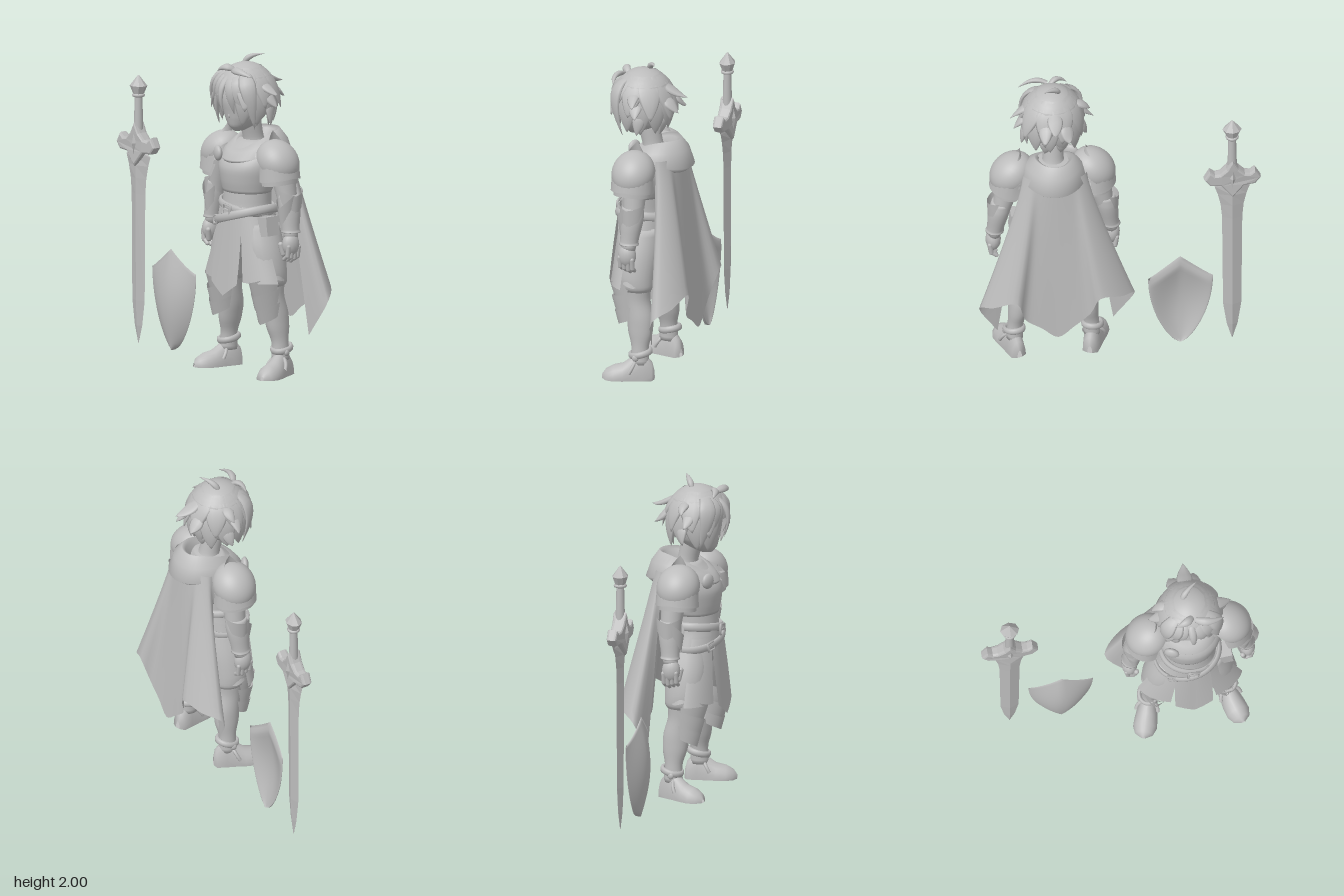
import * as THREE from 'three';
import { mergeVertices } from 'three/addons/utils/BufferGeometryUtils.js';

const grey = new THREE.MeshStandardMaterial({ color: 0xbcbcbc, side: THREE.DoubleSide });
grey.name = 'plain grey';
const V = (x, y, z) => new THREE.Vector3(x, y, z);
const lerp = THREE.MathUtils.lerp;

function add(parent, name, geo, pos = [0, 0, 0], rot = [0, 0, 0], scale = [1, 1, 1]) {
  const m = new THREE.Mesh(geo, grey);
  m.name = name;
  m.position.set(...pos); m.rotation.set(...rot); m.scale.set(...scale);
  parent.add(m);
  return m;
}

// Surface from fn(u, v) -> [x, y, z], with u and v in 0..1
function grid(fn, nu, nv, flat = false) {
  const pos = [], idx = [];
  for (let j = 0; j <= nv; j++) for (let i = 0; i <= nu; i++) pos.push(...fn(i / nu, j / nv));
  for (let j = 0; j < nv; j++) for (let i = 0; i < nu; i++) {
    const a = j * (nu + 1) + i, b = a + nu + 1;
    idx.push(a, b, a + 1, b, b + 1, a + 1);
  }
  let g = new THREE.BufferGeometry();
  g.setAttribute('position', new THREE.Float32BufferAttribute(pos, 3));
  g.setIndex(idx);
  g = flat ? g.toNonIndexed() : mergeVertices(g, 1e-5);
  g.computeVertexNormals();
  return g;
}

// Capped body through level rings [x, y, z, rx, rz]; flat keeps straight facets
function loft(rings, n = 24, flat = false) {
  const k = rings.length - 1, nv = flat ? k : k * 4;
  const c = new THREE.CatmullRomCurve3(rings.map(r => V(r[0], r[1], r[2])));
  const s = new THREE.CatmullRomCurve3(rings.map(r => V(r[3], r[4], 0)));
  return grid((u, v) => {
    const row = Math.round(v * (nv + 2));
    const t = THREE.MathUtils.clamp((row - 1) / nv, 0, 1), p = c.getPoint(t), q = s.getPoint(t);
    const f = row === 0 || row === nv + 2 ? 0 : 1, a = u * Math.PI * 2;
    return [p.x + f * q.x * Math.sin(a), p.y, p.z + f * q.y * Math.cos(a)];
  }, n, nv + 2, flat);
}

// Bent plate around a vertical axis; top and bottom are [y, rx, rz, half angle], dip raises its ends
function strip(cx, cz, mid, top, bot, dip = 0, keel = 0) {
  return grid((u, v) => {
    const w = u * 2 - 1, a = mid + w * lerp(top[3], bot[3], v), k = 1 + keel * (1 - Math.abs(w));
    return [cx + lerp(top[1], bot[1], v) * k * Math.sin(a), lerp(top[0], bot[0], v) + dip * Math.abs(w),
      cz + lerp(top[2], bot[2], v) * k * Math.cos(a)];
  }, 16, 6);
}

// Flattened, pointed lock of hair along a curve
const crown = V(0, 1.75, 0.1);
function lock(a, b, c, w, t = 0.02) {
  const curve = new THREE.QuadraticBezierCurve3(a, b, c);
  return grid((u, v) => {
    const p = curve.getPoint(v), T = curve.getTangent(v), N = p.clone().sub(crown);
    N.addScaledVector(T, -N.dot(T)).normalize();
    const S = T.clone().cross(N), f = (1 - v ** 2.2) * (0.6 + 0.4 * Math.min(1, v * 3)), g = u * Math.PI * 2;
    p.addScaledVector(S, w * f * Math.cos(g)).addScaledVector(N, t * f * Math.sin(g));
    return [p.x, p.y, p.z];
  }, 10, 10);
}
const scalp = (phi, th, s = 1) => V(s * 0.19 * Math.sin(th) * Math.sin(phi),
  1.75 + s * 0.2 * Math.cos(th), 0.1 + s * 0.195 * Math.sin(th) * Math.cos(phi));

function makeHead(k) {
  add(k, 'head', loft([[0, 1.525, 0.155, 0.025, 0.04], [0, 1.56, 0.13, 0.075, 0.095], [0, 1.62, 0.105, 0.125, 0.135],
    [0, 1.72, 0.1, 0.15, 0.155], [0, 1.82, 0.1, 0.12, 0.13], [0, 1.87, 0.1, 0.03, 0.03]]));
  add(k, 'nose', new THREE.SphereGeometry(0.01, 10, 8), [0, 1.625, 0.236], [0, 0, 0], [0.8, 1.4, 1]);
  add(k, 'neck', loft([[0, 1.4, 0.02, 0.09, 0.08], [0, 1.48, 0.04, 0.065, 0.065], [0, 1.6, 0.07, 0.07, 0.07]]));
  // Scalp reaches lower at the back than over the brow
  add(k, 'hairCap', grid((u, v) => {
    const phi = u * Math.PI * 2, p = scalp(phi, v * (1.95 - 0.42 * Math.cos(phi)));
    return [p.x, p.y, p.z];
  }, 36, 16));
  let seed = 7;
  const rnd = () => (seed = (seed * 16807) % 2147483647) / 2147483647;
  for (const [n, t0, t1, t2, len] of [[10, 0.9, 1.75, 2.3, 1.16], [8, 0.5, 1.3, 1.9, 1.1]])
    for (let i = 0; i < n; i++) {
      const phi = 0.85 + (i / (n - 1)) * (Math.PI * 2 - 1.7), turn = (rnd() - 0.5) * 0.3;
      add(k, 'hairLock', lock(scalp(phi, t0, 0.94), scalp(phi, t1, 1.08),
        scalp(phi + turn, t2 + (rnd() - 0.3) * 0.2, len + rnd() * 0.14), 0.085, 0.024));
    }
  // Bangs, swept from a parting left of centre
  for (const [x, y, w] of [[-0.165, 1.57, 0.06], [-0.12, 1.61, 0.07], [-0.07, 1.65, 0.05],
    [-0.005, 1.63, 0.028], [0.055, 1.64, 0.055], [0.11, 1.6, 0.07], [0.165, 1.55, 0.06]])
    add(k, 'bang', lock(V(x * 0.6 - 0.01, 1.89, 0.19), V(x * 1.25, 1.83, 0.365 - Math.abs(x) * 0.6), V(x, y, 0.28 - Math.abs(x) * 0.65), w));
  // Stray spikes that break the outline
  for (const [a, b, c, w] of [
    [[-0.04, 1.93, 0.08], [-0.03, 1.99, 0.06], [0.065, 1.995, 0.0], 0.022],
    [[0.02, 1.91, 0.22], [0.1, 1.93, 0.27], [0.2, 1.885, 0.22], 0.03],
    [[0, 1.91, 0.2], [-0.04, 1.95, 0.25], [-0.11, 1.89, 0.24], 0.03],
    [[0.13, 1.84, 0.1], [0.2, 1.8, 0.1], [0.265, 1.765, 0.07], 0.045],
    [[0.16, 1.78, 0.08], [0.21, 1.72, 0.08], [0.245, 1.69, 0.06], 0.045],
    [[0.16, 1.72, 0.06], [0.19, 1.64, 0.06], [0.195, 1.57, 0.07], 0.045],
    [[-0.14, 1.82, 0.1], [-0.2, 1.76, 0.12], [-0.26, 1.72, 0.1], 0.045],
    [[-0.13, 1.86, 0.08], [-0.2, 1.84, 0.06], [-0.235, 1.8, 0.08], 0.04],
    [[-0.16, 1.74, 0.06], [-0.2, 1.66, 0.06], [-0.215, 1.61, 0.08], 0.045],
    [[0, 1.87, -0.03], [0, 1.8, -0.12], [0.01, 1.8, -0.2], 0.055],
    [[0.06, 1.8, -0.06], [0.06, 1.74, -0.12], [0.07, 1.71, -0.16], 0.05],
    [[-0.07, 1.8, -0.06], [-0.07, 1.72, -0.12], [-0.09, 1.71, -0.15], 0.05],
    [[0.05, 1.68, -0.05], [0.05, 1.62, -0.06], [0.06, 1.55, -0.03], 0.05],
    [[-0.05, 1.68, -0.05], [-0.05, 1.62, -0.06], [-0.04, 1.56, -0.04], 0.05]])
    add(k, 'hairSpike', lock(V(...a), V(...b), V(...c), w));
}

function makeBody(k) {
  add(k, 'breastplate', loft([[0, 1.46, 0.03, 0.1, 0.08], [0, 1.4, 0.05, 0.2, 0.13], [0, 1.3, 0.07, 0.205, 0.178],
    [0, 1.21, 0.08, 0.185, 0.165], [0, 1.14, 0.09, 0.165, 0.14]], 32));
  add(k, 'waist', loft([[0, 1.17, 0.085, 0.16, 0.135], [0, 1.06, 0.09, 0.162, 0.14], [0, 0.98, 0.09, 0.18, 0.15],
    [0, 0.88, 0.08, 0.2, 0.14], [0, 0.8, 0.08, 0.13, 0.1]], 32));
  // Belts and buckles
  for (const [r, pos, tilt] of [[0.178, [0, 1.05, 0.09], -0.16], [0.208, [-0.01, 0.99, 0.085], 0.28]]) {
    const belt = new THREE.TorusGeometry(r, 0.014, 8, 48).rotateX(Math.PI / 2).scale(1, 1.9, 0.86);
    add(k, 'belt', belt, pos, [0, 0, tilt]);
  }
  for (const [x, y, z, r, t] of [[0, 1.035, 0.262, 0.045, -0.15], [-0.13, 0.955, 0.235, 0.035, 0.25]]) {
    add(k, 'buckle', new THREE.TorusGeometry(r, 0.009, 6, 4).rotateZ(Math.PI / 4), [x, y, z], [0, x * 3, t]);
    add(k, 'bucklePin', new THREE.BoxGeometry(r * 1.2, 0.012, 0.012), [x, y, z], [0, x * 3, t]);
  }
  add(k, 'pouch', new THREE.BoxGeometry(0.07, 0.11, 0.1), [0.225, 0.94, 0.11], [0, 0, 0.15]);
  add(k, 'pouchFlap', new THREE.BoxGeometry(0.08, 0.04, 0.11), [0.222, 0.985, 0.11], [0, 0, 0.15]);
  // Tabard with a pointed hem
  add(k, 'tabard', strip(0, 0.09, 0, [1.0, 0.175, 0.16, 0.6], [0.5, 0.33, 0.205, 0.36], 0.08));
  // Hood lying round the neck: rings of [rx, front z, back z, front y, back y]
  const hood = [[0.09, 0.11, -0.09, 1.36, 1.42], [0.095, 0.12, -0.12, 1.41, 1.5], [0.12, 0.15, -0.145, 1.42, 1.52],
    [0.175, 0.205, -0.195, 1.39, 1.45], [0.205, 0.24, -0.228, 1.345, 1.35], [0.19, 0.235, -0.19, 1.33, 1.32], [0.12, 0.15, -0.1, 1.35, 1.36]];
  add(k, 'hood', grid((u, v) => {
    const r = hood[Math.round(v * 6)], c = Math.cos(u * Math.PI * 2), f = (c + 1) / 2;
    return [r[0] * Math.sin(u * Math.PI * 2), lerp(r[4], r[3], f) + 0.03 * (1 - c * c), lerp(r[2], r[1], f)];
  }, 40, 6));
  add(k, 'brooch', new THREE.SphereGeometry(0.048, 20, 14), [-0.13, 1.37, 0.215], [0, -0.4, 0], [1, 1, 0.5]);
  // Cape: rounded folds along the hem, drawn in to the shoulders
  const hem = new THREE.CatmullRomCurve3([[-0.36, 0.3, -0.1], [-0.49, 0.52, -0.15], [-0.4, 0.57, -0.25], [-0.26, 0.6, -0.305], [-0.2, 0.46, -0.265], [-0.1, 0.37, -0.265],
    [0, 0.3, -0.27], [0.1, 0.37, -0.265], [0.2, 0.44, -0.265], [0.26, 0.6, -0.305], [0.4, 0.54, -0.25], [0.48, 0.47, -0.15], [0.36, 0.25, -0.1]].map(p => V(...p)));
  add(k, 'cape', grid((u, v) => {
    const h = hem.getPoint(u), a = (u - 0.5) * Math.PI;
    return [lerp(0.2 * Math.sin(a), h.x, v ** 1.15), lerp(1.42, h.y, v), lerp(-0.06 - 0.09 * Math.cos(a), h.z, v)];
  }, 48, 16));
}

// One side of the body, built on +x and mirrored for the other
function makeSide(g) {
  // Shoulder armour
  add(g, 'pauldron', new THREE.SphereGeometry(1, 28, 14, 0, Math.PI * 2, 0, Math.PI * 0.56), [0.255, 1.35, 0.065], [0, 0, -0.75], [0.15, 0.122, 0.135]);
  add(g, 'pauldronLame', strip(0.27, 0.065, 1.57, [1.36, 0.11, 0.13, 2.2], [1.26, 0.125, 0.136, 1.9], -0.03));
  add(g, 'pauldronLame', strip(0.27, 0.065, 1.57, [1.3, 0.1, 0.12, 2.2], [1.225, 0.106, 0.12, 1.9], -0.02));
  add(g, 'pauldronLip', strip(0.255, 0.06, -1.57, [1.54, 0.05, 0.06, 0.9], [1.36, 0.08, 0.13, 1.2], -0.06));
  // Arm, bracer and hand
  add(g, 'arm', loft([[0.26, 1.4, 0.05, 0.08, 0.085], [0.285, 1.25, 0.045, 0.075, 0.075], [0.315, 1.12, 0.04, 0.06, 0.065],
    [0.345, 1.0, 0.045, 0.052, 0.058], [0.365, 0.88, 0.055, 0.04, 0.045]]));
  add(g, 'bracer', loft([[0.32, 1.15, 0.04, 0.062, 0.068], [0.335, 1.08, 0.04, 0.067, 0.072], [0.358, 0.94, 0.05, 0.053, 0.058], [0.362, 0.92, 0.05, 0.058, 0.062]]));
  add(g, 'elbowGuard', strip(0.33, 0.035, 1.4, [1.15, 0.076, 0.085, 1.6], [1.04, 0.07, 0.08, 1.0], 0.04, 0.08));
  add(g, 'bracerPlate', strip(0.342, 0.045, 0, [1.07, 0.07, 0.08, 1.3], [0.96, 0.058, 0.064, 1.0], 0.09, 0.12));
  add(g, 'palm', new THREE.SphereGeometry(1, 16, 12), [0.37, 0.845, 0.06], [0, 0, 0], [0.048, 0.075, 0.058]);
  for (let i = 0; i < 4; i++) {
    add(g, 'finger', new THREE.CapsuleGeometry(0.015, 0.06, 4, 8), [0.39, 0.79 + 0.008 * Math.abs(i - 1), 0.018 + i * 0.027], [0, 0, -0.15]);
    add(g, 'fingerTip', new THREE.CapsuleGeometry(0.013, 0.03, 4, 8), [0.366, 0.748 + 0.008 * Math.abs(i - 1), 0.018 + i * 0.027], [0, 0, -0.9]);
  }
  add(g, 'thumb', new THREE.CapsuleGeometry(0.017, 0.06, 4, 8), [0.338, 0.815, 0.105], [0.2, 0, 0.15]);
  // Skirt panels
  add(g, 'frontSkirtPanel', strip(0, 0.085, 0.9, [1.0, 0.18, 0.155, 0.42], [0.595, 0.335, 0.19, 0.46], 0));
  add(g, 'sideSkirtPanel', strip(0, 0.08, 1.75, [1.0, 0.185, 0.15, 0.5], [0.6, 0.3, 0.15, 0.45], 0.02));
  // Leg
  add(g, 'thigh', loft([[0.1, 0.95, 0.075, 0.11, 0.125], [0.14, 0.8, 0.08, 0.125, 0.135], [0.18, 0.66, 0.078, 0.112, 0.122], [0.19, 0.59, 0.07, 0.1, 0.11], [0.19, 0.55, 0.065, 0.07, 0.08]]));
  add(g, 'shin', loft([[0.19, 0.6, 0.065, 0.085, 0.09], [0.195, 0.5, 0.06, 0.075, 0.08], [0.205, 0.4, 0.04, 0.073, 0.085],
    [0.22, 0.3, 0.032, 0.062, 0.078], [0.235, 0.2, 0.028, 0.049, 0.055], [0.24, 0.1, 0.028, 0.052, 0.06]]));
  for (const [x, y, r, h] of [[0.19, 0.51, 0.104, 0.09], [0.2, 0.42, 0.094, 0.09], [0.21, 0.34, 0.08, 0.08]])
    add(g, 'kneePlate', strip(x, 0.065, 0.1, [y + h, r * 0.95, r * 1.35, 1.4], [y - 0.01, r * 0.92, r * 1.1, 1.2], 0.05, 0.28));
  // Boot: sections of [z, half width, height], with a flat sole
  const foot = new THREE.Group();
  foot.name = 'boot'; foot.position.set(0.24, 0, 0.01); foot.rotation.y = 0.3;
  const cut = [[-0.075, 0.015, 0.05], [-0.06, 0.048, 0.11], [0, 0.056, 0.18], [0.06, 0.062, 0.145], [0.12, 0.072, 0.1], [0.18, 0.074, 0.085], [0.225, 0.055, 0.06], [0.25, 0.012, 0.025]];
  add(foot, 'bootShell', grid((u, v) => {
    const c = cut[Math.round(v * 7)], a = u * Math.PI * 2;
    return [c[1] * Math.cos(a), c[2] * Math.max(0, Math.sin(a)), c[0]];
  }, 24, 7));
  add(foot, 'ankleStrap', new THREE.TorusGeometry(0.058, 0.013, 8, 28).rotateX(Math.PI / 2), [0, 0.17, 0.012], [0.25, 0, 0], [1, 1.6, 1.1]);
  add(foot, 'instepStrap', new THREE.TorusGeometry(0.064, 0.011, 8, 24, Math.PI), [0, 0.05, 0.08], [-0.5, 0, 0], [1.05, 1.25, 1]);
  add(foot, 'strapButton', new THREE.SphereGeometry(0.022, 12, 8), [0.055, 0.15, 0.04], [0, 0, 0], [0.6, 1, 1]);
  g.add(foot);
}

function makeSword(g) {
  add(g, 'blade', loft([[0, 0.01, 0, 0.002, 0.002], [0, 0.12, 0, 0.034, 0.015], [0, 0.28, 0, 0.057, 0.022], [0, 0.95, 0, 0.063, 0.025],
    [0, 1.05, 0, 0.072, 0.026], [0, 1.13, 0, 0.09, 0.026], [0, 1.19, 0, 0.11, 0.02], [0, 1.22, 0, 0.07, 0.02]], 4, true));
  const half = [[0, 1.4], [0.035, 1.335], [0.075, 1.295], [0.11, 1.29], [0.14, 1.315], [0.172, 1.26], [0.14, 1.22], [0.07, 1.215], [0, 1.13]];
  const pts = [...half, ...half.slice(1, -1).reverse().map(([x, y]) => [-x, y])].map(p => new THREE.Vector2(...p));
  const guard = new THREE.ExtrudeGeometry(new THREE.Shape(pts), { depth: 0.04, bevelThickness: 0.018, bevelSize: 0.012, bevelOffset: -0.008, bevelSegments: 2 });
  guard.translate(0, 0, -0.02);
  // Thin the guard toward its tips
  const gp = guard.attributes.position;
  for (let i = 0; i < gp.count; i++) gp.setZ(i, gp.getZ(i) * (1.15 - 2 * Math.abs(gp.getX(i))));
  guard.computeVertexNormals();
  add(g, 'crossguard', guard);
  add(g, 'guardRidge', loft([[0, 1.14, 0, 0.004, 0.03], [0, 1.27, 0, 0.06, 0.055], [0, 1.39, 0, 0.004, 0.03]], 4, true));
  add(g, 'grip', new THREE.CylinderGeometry(0.024, 0.03, 0.24, 16), [0, 1.45, 0]);
  add(g, 'gripCollar', new THREE.TorusGeometry(0.03, 0.011, 8, 20).rotateX(Math.PI / 2), [0, 1.57, 0]);
  add(g, 'pommel', loft([[0, 1.57, 0, 0.03, 0.03], [0, 1.63, 0, 0.06, 0.05], [0, 1.695, 0, 0.004, 0.004]], 8, true));
}

export function createModel() {
  const model = new THREE.Group();
  model.name = 'knightWithSwordAndShield';
  const part = (name, parent, x, build) => {
    const g = new THREE.Group();
    g.name = name; g.position.x = x;
    build(g); parent.add(g);
    return g;
  };
  const knight = part('knight', model, 0.4, k => { makeHead(k); makeBody(k); });
  part('leftSide', knight, 0, makeSide);
  part('rightSide', knight, 0, makeSide).scale.x = -1;
  part('sword', model, -0.71, makeSword).position.z = -0.008;
  // Shield: bowed front, hollow back, peaked top
  add(model, 'shield', grid((u, v) => {
    const a = u * Math.PI * 2, c = Math.cos(a), s = Math.sin(a) ** 2;
    const front = -0.015 + 0.078 * s * (0.35 + 0.65 * Math.sin(Math.PI * v));
    const thick = 0.03 * s ** 0.5 * Math.min(1, (1 - v) * 10);
    return [0.202 * Math.sin(v * Math.PI / 2) ** 0.6 * c, 0.01 + v * (0.5 + 0.14 * (1 - Math.abs(c)) ** 1.2), Math.sin(a) > 0 ? front : front - thick];
  }, 48, 24), [-0.388, 0, 0]);
  return model;
}
